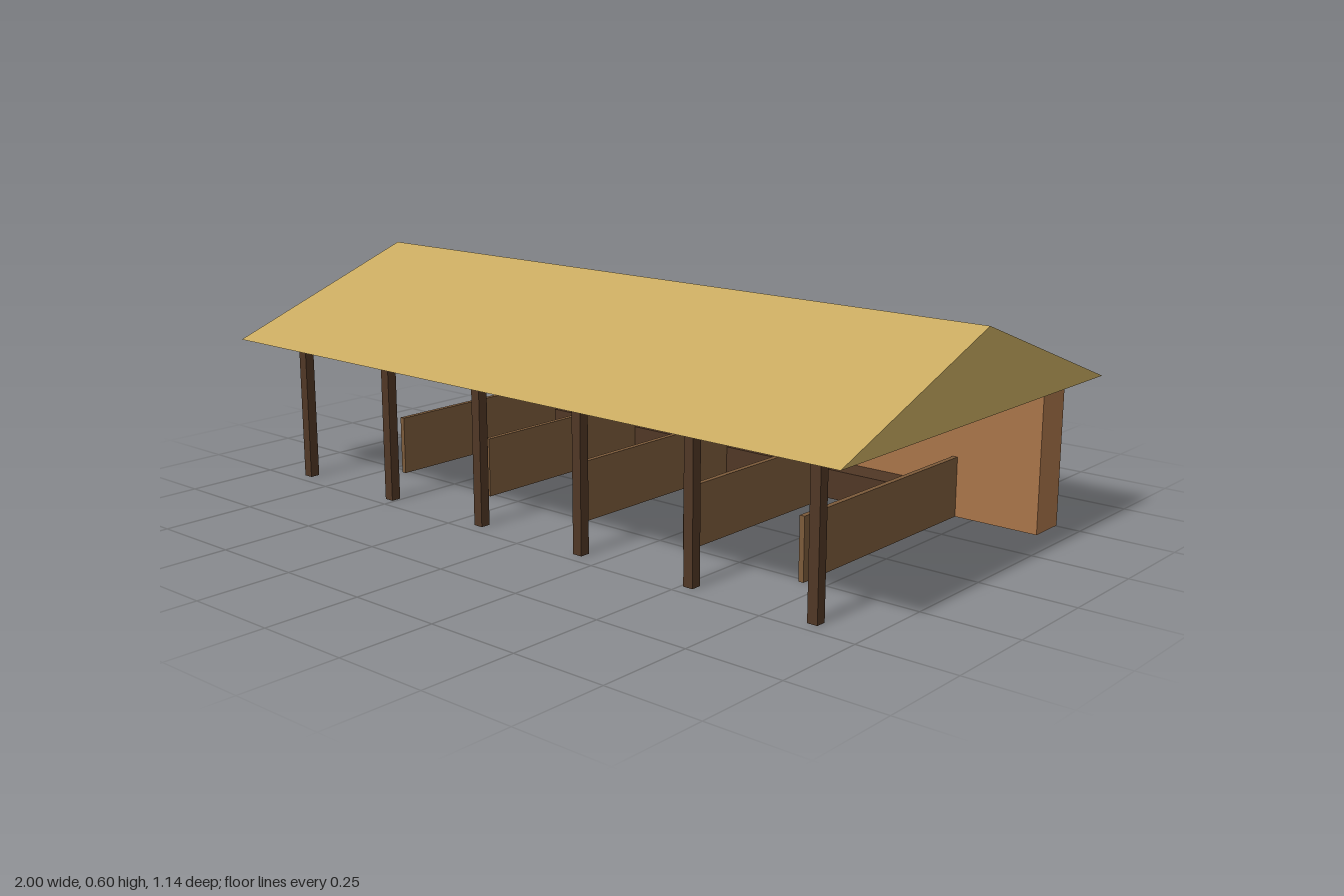
import * as THREE from 'three';

const material = (name, color) => {
  const m = new THREE.MeshStandardMaterial({ color });
  m.name = name;
  return m;
};

export function createModel() {
  const model = new THREE.Group();
  model.name = 'openShed';

  const thatch = material('straw thatch', 0xc8aa60);
  const wallWood = material('warm wall wood', 0xa87449);
  const panelWood = material('brown panel wood', 0x7b5a3a);
  const darkWood = material('dark timber', 0x503725);

  // Box standing on the ground between two depths
  const addBox = (name, mat, x, width, height, zBack, zFront) => {
    const mesh = new THREE.Mesh(new THREE.BoxGeometry(width, height, zFront - zBack), mat);
    mesh.position.set(x, height / 2, (zBack + zFront) / 2);
    mesh.name = name;
    model.add(mesh);
  };

  // Gable roof: a solid triangular prism along x
  const gable = new THREE.Shape([
    new THREE.Vector2(-0.57, 0.39),
    new THREE.Vector2(0.57, 0.39),
    new THREE.Vector2(0, 0.6),
  ]);
  const roofGeometry = new THREE.ExtrudeGeometry(gable, { depth: 2, bevelEnabled: false });
  roofGeometry.translate(0, 0, -1).rotateY(Math.PI / 2);
  const roof = new THREE.Mesh(roofGeometry, thatch);
  roof.name = 'roof';
  model.add(roof);

  // Thick rear wall and the low trough along its inner face
  addBox('backWall', wallWood, 0, 1.866, 0.39, -0.505, -0.4);
  addBox('trough', darkWood, 0, 1.333, 0.08, -0.4, -0.32);

  // Front posts
  for (let i = 0; i < 6; i++) {
    addBox('frontPost', darkWood, (i - 2.5) * 0.347, 0.027, 0.375, 0.44, 0.467);
  }

  // Stall partitions
  for (let i = 0; i < 5; i++) {
    addBox('stallPartition', panelWood, (i - 2) * 0.346, 0.014, 0.16, -0.4, 0.267);
  }

  return model;
}
